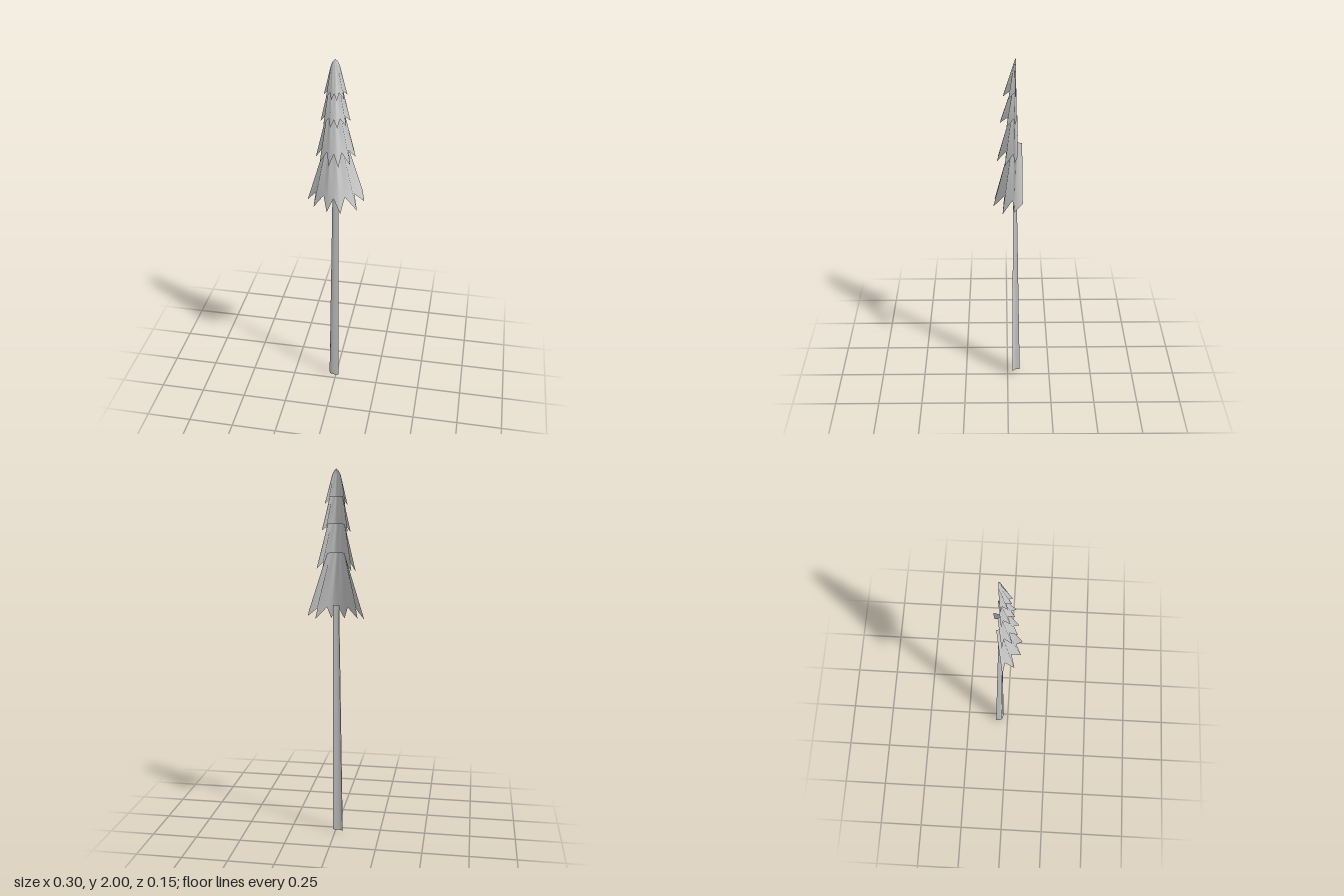
import * as THREE from 'three';

const material = new THREE.MeshStandardMaterial({ color: 0xcccccc, side: THREE.DoubleSide });

// Open smooth shell through rows of points; each row runs left to right, rows go upwards
function loft(name, rows) {
  const n = rows[0].length, index = [];
  for (let r = 0; r < rows.length - 1; r++) {
    for (let i = 0; i < n - 1; i++) {
      const a = r * n + i, b = a + 1, c = a + n, d = c + 1;
      index.push(a, b, c, b, d, c);
    }
  }
  const g = new THREE.BufferGeometry();
  g.setAttribute('position', new THREE.Float32BufferAttribute(rows.flat(2), 3));
  g.setIndex(index);
  g.computeVertexNormals();
  const mesh = new THREE.Mesh(g, material);
  mesh.name = name;
  return mesh;
}

// Ragged hem of the widest tier: x, z and drop below the valley line (1 = full tip)
const hem = [
  [-0.152, -0.02, 0.8], [-0.105, -0.008, 0], [-0.108, 0.04, 0.9], [-0.057, 0.022, 0],
  [-0.032, 0.07, 1], [0, 0.044, 0], [0.042, 0.076, 1], [0.056, 0.018, 0],
  [0.122, 0.027, 1], [0.1, -0.025, 0], [0.152, -0.032, 0.6], [0.135, -0.077, 0],
];
const CX = -0.005, CZ = -0.045;

// Half ring, bulging to the front, from the left back edge to the right back edge
function halfRing(y, rx, zFront, zLeft, zRight) {
  return hem.map((_, i) => {
    const u = i / (hem.length - 1), t = u * Math.PI;
    const back = THREE.MathUtils.lerp(zLeft, zRight, u);
    return [CX - rx * Math.cos(t), y, back + (zFront - back) * Math.sin(t)];
  });
}

// Hem scaled to a tier, kept in front of its back edge
function hemRow(y, drop, sx, sz, back) {
  return hem.map(([x, z, d]) => [CX + (x - CX) * sx, y - d * drop, Math.max(CZ + (z - CZ) * sz, back)]);
}

export function createModel() {
  const tree = new THREE.Group();
  tree.name = 'halfConifer';

  // Needle tiers, bottom to top
  tree.add(
    loft('lowestTier', [hemRow(1.27, 0.07, 1, 1, -0.077), halfRing(1.57, 0.044, -0.02, -0.053, -0.073)]),
    loft('lowerMiddleTier', [hemRow(1.52, 0.06, 0.68, 0.83, -0.05), halfRing(1.72, 0.044, -0.018, -0.045, -0.048)]),
    loft('upperMiddleTier', [hemRow(1.705, 0.035, 0.5, 0.7, -0.044), halfRing(1.86, 0.034, -0.025, -0.04, -0.043)]),
    loft('topTier', [
      hemRow(1.84, 0.03, 0.39, 0.57, -0.041),
      halfRing(1.97, 0.022, -0.028, -0.04, -0.041),
      halfRing(1.99, 0.012, -0.034, -0.04, -0.041),
      halfRing(2.0, 0.001, -0.04, -0.041, -0.041),
    ]),
  );

  // Trunk: tapered open shell, hollow towards the back right
  const foot = [[-0.044, -0.074], [-0.043, -0.052], [-0.036, -0.036], [-0.016, -0.029], [0.017, -0.029]];
  const head = [[-0.019, -0.048], [-0.02, -0.038], [-0.014, -0.031], [-0.002, -0.029], [0.014, -0.029]];
  const lift = (row, y) => row.map(([x, z]) => [x, y, z]);
  tree.add(loft('trunk', [lift(foot, 0), lift(head, 1.29)]));
  return tree;
}
